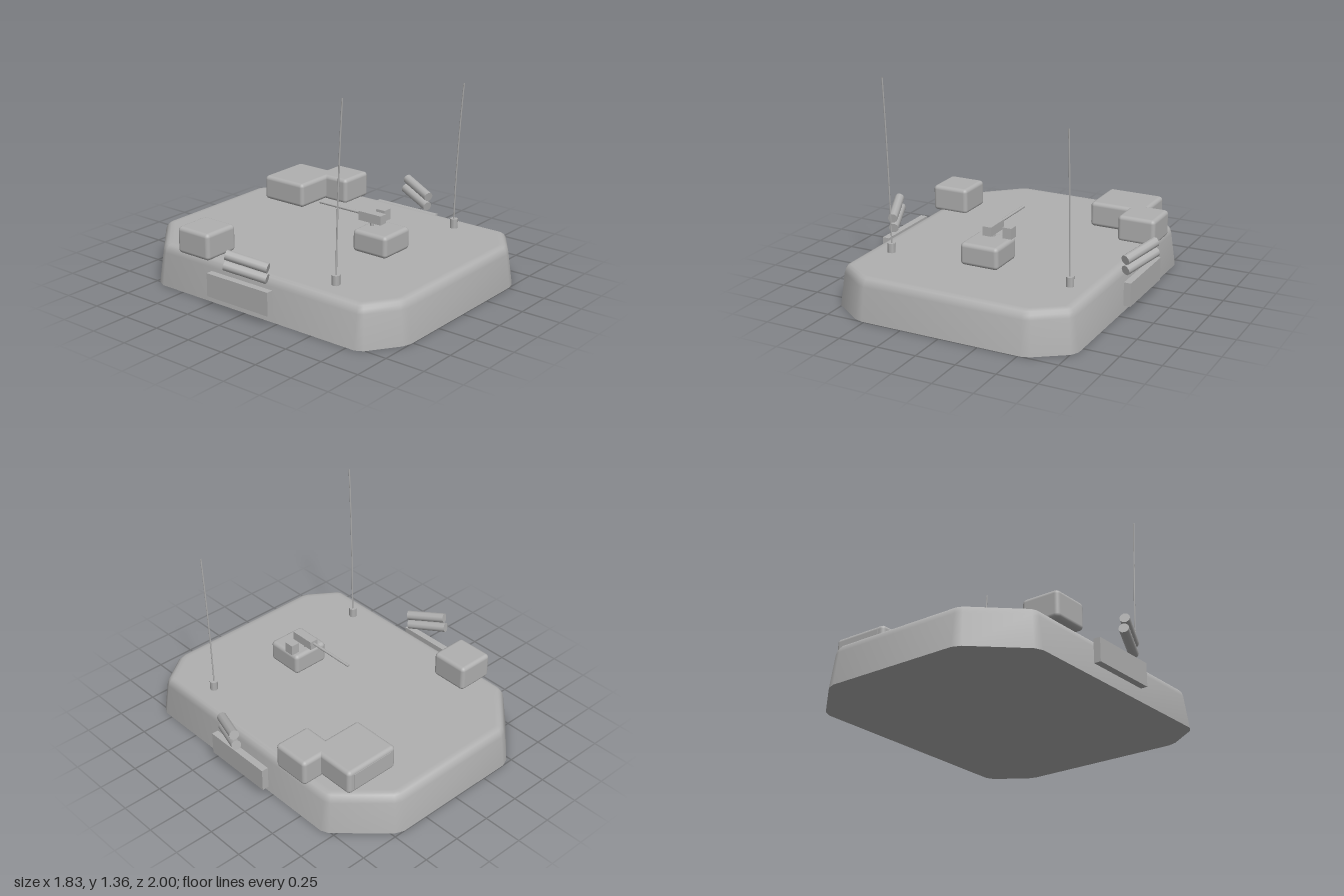
import * as THREE from 'three';
import { toCreasedNormals } from 'three/addons/utils/BufferGeometryUtils.js';
import { RoundedBoxGeometry } from 'three/addons/geometries/RoundedBoxGeometry.js';

const grey = new THREE.MeshStandardMaterial({ color: 0xb0b0b0 });
grey.name = 'plain grey';

function add(parent, name, geometry, x = 0, y = 0, z = 0) {
  const mesh = new THREE.Mesh(geometry, grey);
  mesh.name = name;
  mesh.position.set(x, y, z);
  parent.add(mesh);
  return mesh;
}

// Box from its min and max corners, with optional rounded edges
function box(parent, name, [x0, y0, z0], [x1, y1, z1], r = 0) {
  const s = [x1 - x0, y1 - y0, z1 - z0];
  const geometry = r ? new RoundedBoxGeometry(...s, 3, r) : new THREE.BoxGeometry(...s);
  return add(parent, name, geometry, (x0 + x1) / 2, (y0 + y1) / 2, (z0 + z1) / 2);
}

// Cylinder between two points
function rod(parent, name, a, b, r, sides) {
  const p = new THREE.Vector3(...a), q = new THREE.Vector3(...b);
  const dir = q.clone().sub(p);
  const mesh = add(parent, name, new THREE.CylinderGeometry(r, r, dir.length(), sides));
  mesh.position.copy(p).add(q).multiplyScalar(0.5);
  mesh.quaternion.setFromUnitVectors(new THREE.Vector3(0, 1, 0), dir.normalize());
  return mesh;
}

// Moves every edge of a convex outline inwards by d
function inset(points, d) {
  const n = points.length;
  const normal = (i) => {
    const a = points[i % n], b = points[(i + 1) % n];
    return new THREE.Vector2(b.y - a.y, a.x - b.x).normalize();
  };
  return points.map((p, i) => {
    const n0 = normal(i + n - 1), n1 = normal(i);
    return p.clone().addScaledVector(n0.clone().add(n1), -d / (1 + n0.dot(n1)));
  });
}

// Eight-sided hull with sloping walls, softened corners and a bevelled deck edge
function hullGeometry() {
  const corners = [[0.78, -0.7], [0.78, 0.835], [0.545, 1], [-0.545, 1],
    [-0.78, 0.835], [-0.78, -0.7], [-0.455, -1], [0.455, -1]].map((c) => new THREE.Vector2(...c));
  const outline = corners.flatMap((c, i) => [corners[(i + 7) % 8], corners[(i + 1) % 8]].map(
    (other) => c.clone().addScaledVector(other.clone().sub(c).normalize(), 0.03)));
  const rows = [[0, 0], [0.028, 0.205], [0.036, 0.232], [0.05, 0.249], [0.066, 0.256], [0.09, 0.256]];
  const n = outline.length, pos = [], index = [];
  rows.forEach(([d, y]) => inset(outline, d).forEach((p) => pos.push(p.x, y, p.y)));
  const bottom = rows.length * n, top = bottom + 1, last = (rows.length - 1) * n;
  pos.push(0, 0, 0, 0, 0.256, 0);
  for (let i = 0; i < n; i++) {
    const j = (i + 1) % n;
    for (let k = 0; k < last; k += n) {
      index.push(k + i, k + n + i, k + j, k + j, k + n + i, k + n + j);
    }
    index.push(bottom, i, j, top, last + j, last + i);
  }
  const geometry = new THREE.BufferGeometry();
  geometry.setAttribute('position', new THREE.Float32BufferAttribute(pos, 3));
  geometry.setIndex(index);
  return toCreasedNormals(geometry, 0.62);
}

export function createModel() {
  const model = new THREE.Group();
  model.name = 'turret';
  add(model, 'hull', hullGeometry());

  // Stowage boxes on the deck
  box(model, 'rearBox', [0.28, 0.255, -0.77], [0.65, 0.415, -0.445], 0.025);
  box(model, 'rearBoxPanel', [0.325, 0.285, -0.773], [0.61, 0.39, -0.765]);

  // Weapon mount
  const mount = new THREE.Group();
  mount.name = 'weaponMount';
  model.add(mount);
  box(mount, 'mountBase', [-0.125, 0.258, 0.28], [0.125, 0.397, 0.528], 0.025);
  rod(mount, 'pedestal', [0, 0.39, 0.335], [0, 0.43, 0.335], 0.012, 10);
  box(mount, 'receiver', [-0.028, 0.423, 0.253], [0.028, 0.48, 0.418]);
  rod(mount, 'barrel', [0, 0.46, 0.26], [0, 0.46, -0.065], 0.009, 10);
  box(mount, 'sight', [0.078, 0.407, 0.307], [0.137, 0.475, 0.37]);

  // Parts found on both sides
  for (const s of [1, -1]) {
    const side = new THREE.Group();
    side.name = s > 0 ? 'leftSide' : 'rightSide';
    model.add(side);
    const mid = s * 0.657;
    box(side, 'sideBox', [mid - 0.123, 0.247, -0.535], [mid + 0.123, 0.415, -0.285], 0.025);
    box(side, 'sidePanel', [s * 0.825 - 0.022, 0.066, -0.235], [s * 0.825 + 0.022, 0.212, 0.235]);

    // Launcher tubes
    rod(side, 'upperTube', [s * 0.793, 0.335, 0.198], [s * 0.886, 0.388, -0.037], 0.031, 10);
    rod(side, 'lowerTube', [s * 0.793, 0.268, 0.19], [s * 0.886, 0.32, -0.052], 0.031, 10);

    // Antenna, bending slightly forward
    const height = s > 0 ? 1.2 : 1.355;
    add(side, 'antennaBase', new THREE.CylinderGeometry(0.025, 0.025, 0.06, 8), s * 0.595, 0.288, 0.53);
    const curve = new THREE.QuadraticBezierCurve3(
      new THREE.Vector3(s * 0.592, 0.3, 0.53),
      new THREE.Vector3(s * 0.594, 0.3 + (height - 0.3) * 0.5, 0.538),
      new THREE.Vector3(s * 0.597, height, 0.574));
    add(side, 'antenna', new THREE.TubeGeometry(curve, 8, 0.005, 6));
  }
  return model;
}
